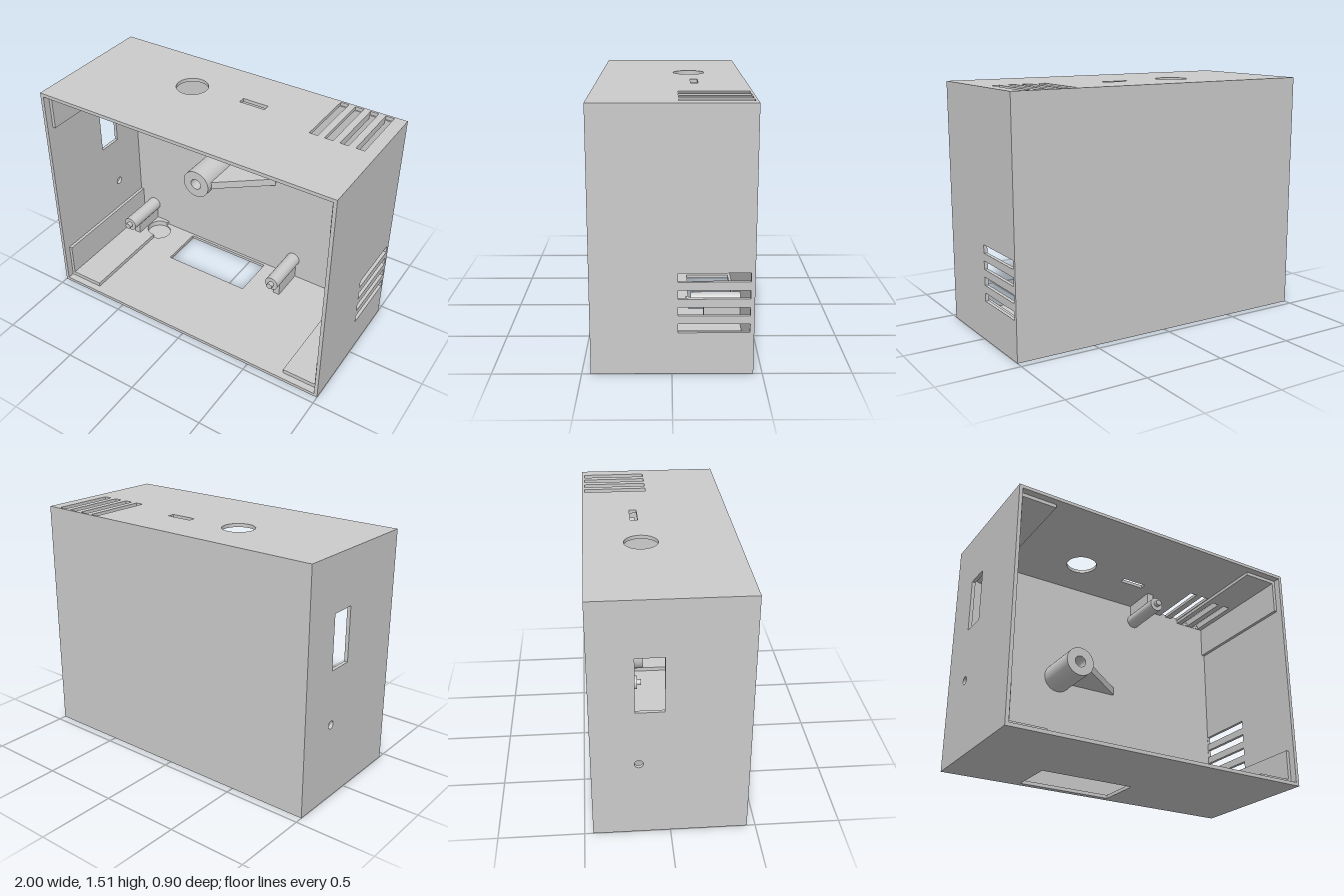
import * as THREE from 'three';

const T = 0.022, H = 1.51, D = 0.45;      // wall thickness, height, half depth
const IN = 1 - T, BACK = -D + T, FRONT = 0.405;
const material = new THREE.MeshStandardMaterial({ color: 0xcccccc, flatShading: true });
const smooth = new THREE.MeshStandardMaterial({ color: 0xcccccc });

function rect(x0, x1, y0, y1, PathType = THREE.Path) {
  const p = new PathType();
  p.moveTo(x0, y0);
  p.lineTo(x1, y0);
  p.lineTo(x1, y1);
  p.lineTo(x0, y1);
  p.closePath();
  return p;
}

function circle(x, y, r, PathType = THREE.Path) {
  const p = new PathType();
  p.absarc(x, y, r, 0, Math.PI * 2, false);
  return p;
}

const extrude = (shape, depth) =>
  new THREE.ExtrudeGeometry(shape, { depth, bevelEnabled: false, curveSegments: 24 });

export function createModel() {
  const model = new THREE.Group();

  function add(name, geometry, mat = material) {
    const mesh = new THREE.Mesh(geometry, mat);
    mesh.name = name;
    model.add(mesh);
    return mesh;
  }
  function box(name, x0, x1, y0, y1, z0, z1) {
    add(name, new THREE.BoxGeometry(x1 - x0, y1 - y0, z1 - z0))
      .position.set((x0 + x1) / 2, (y0 + y1) / 2, (z0 + z1) / 2);
  }
  // Horizontal slab: shape drawn in (x, -z), bottom at y
  function slab(name, shape, holes, y, t) {
    shape.holes.push(...holes);
    add(name, extrude(shape, t).rotateX(-Math.PI / 2)).position.y = y;
  }
  // Upright side wall: shape drawn in (-z, y), inner or outer face at x
  function wall(name, holes, x) {
    const shape = rect(-D, D, T, H - T, THREE.Shape);
    shape.holes.push(...holes);
    add(name, extrude(shape, T).rotateY(Math.PI / 2)).position.x = x;
  }
  const full = () => rect(-1, 1, -D, D, THREE.Shape);

  // Top with round opening, small slot and vents
  const topVents = [0.58, 0.677, 0.773, 0.87];
  slab('topPanel', full(), [
    circle(-0.27, 0.115, 0.1),
    rect(0.07, 0.24, 0.115, 0.16),
    ...topVents.map((x) => rect(x, x + 0.053, 0.035, 0.435)),
  ], H - T, T);

  // Floor in two layers, with a window and a shallow round pocket
  const floorWindow = () => rect(-0.5, 0.12, 0.115, 0.41);
  const pocket = { x: -0.746, y: 0.32, r: 0.084 };
  slab('floorLower', full(), [floorWindow()], 0, T / 2);
  slab('floorUpper', full(), [floorWindow(), circle(pocket.x, pocket.y, pocket.r)], T / 2, T / 2);

  // Side walls
  wall('leftWall', [0.245, 0.343, 0.441, 0.539].map((y) => rect(0.032, 0.427, y, y + 0.051)), IN);
  wall('rightWall', [rect(0.035, 0.197, 0.83, 1.17), circle(0.18, 0.487, 0.025)], -1);
  box('backPanel', -IN, IN, T, H - T, -D, BACK);

  // Corner strips along the walls
  const inner = 0.957, reach = 0.735;
  box('cornerStripUpright', -IN, -inner, T, 0.27, BACK, FRONT);
  box('cornerStripUpright', inner, IN, T, 0.24, BACK, FRONT);
  box('cornerStripUpright', -IN, -inner, 1.25, H - T, BACK, FRONT);
  box('cornerStripUpright', inner, IN, 1.25, H - T, BACK, FRONT);
  box('cornerStripTop', -inner, -reach, 1.465, H - T, BACK, FRONT);
  box('cornerStripFloor', reach, inner, T, 0.05, BACK, FRONT);
  slab('cornerStripTop', rect(reach, inner, -FRONT, -BACK, THREE.Shape),
    topVents.slice(2).map((x) => rect(x, x + 0.053, 0.035, 0.425)), 1.465, H - T - 1.465);

  // Floor strip notched around the pocket
  const a = Math.acos((-reach - pocket.x) / pocket.r);
  const notched = new THREE.Shape();
  notched.moveTo(-inner, -FRONT);
  notched.lineTo(-reach, -FRONT);
  notched.absarc(pocket.x, pocket.y, pocket.r, -a, a, true);
  notched.lineTo(-reach, -BACK);
  notched.lineTo(-inner, -BACK);
  slab('cornerStripFloor', notched, [], T, 0.05 - T);

  // Mounting posts with locating pins and ribs
  function rod(name, x, y, r, z0, z1) {
    add(name, new THREE.CylinderGeometry(r, r, z1 - z0, 28).rotateX(Math.PI / 2), smooth)
      .position.set(x, y, (z0 + z1) / 2);
  }
  for (const x of [-0.857, 0.34]) {
    for (const y of [0.173, 1.368]) {
      rod('mountingPost', x, y, 0.048, BACK, -0.12);
      rod('mountingPin', x, y, 0.021, -0.12, -0.09);
      const low = y < 1;
      box('postRib', x - 0.023, x + 0.023, low ? T : y + 0.03, low ? y - 0.03 : H - T, BACK, -0.2);
    }
  }

  // Central hollow boss
  const ring = circle(0, 0, 0.097, THREE.Shape);
  ring.holes.push(circle(0, 0, 0.038));
  add('centreBoss', extrude(ring, -0.115 - BACK)).position.set(-0.26, 0.772, BACK);

  // Tapered gusset beside the boss: outline in (x, -z)
  const gusset = new THREE.Shape();
  gusset.moveTo(-0.18, -BACK);
  gusset.lineTo(-0.18, 0.145);
  gusset.lineTo(0.173, -BACK - 0.006);
  gusset.lineTo(0.173, -BACK);
  slab('bossGusset', gusset, [], 0.746, 0.052);

  return model;
}
